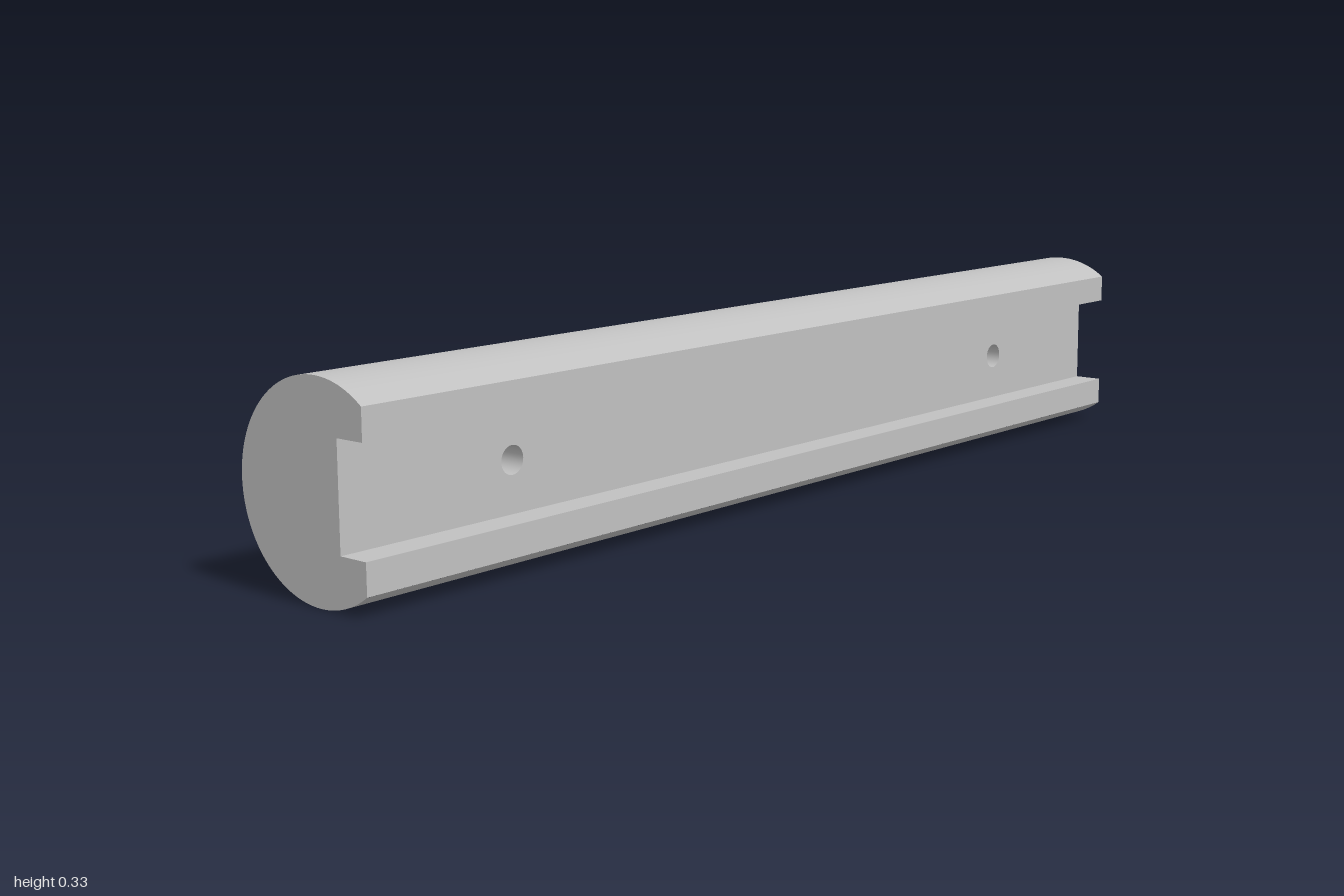
import * as THREE from 'three';

const R = 1 / 6, CY = 1 / 6, CZ = 1 / 30;   // round bar radius and axis
const FRONT = 0.1333, FLOOR = 0.08;         // z of front flats and channel floor
const SLOT = 0.0833, FLAT = 0.1333;         // half heights of channel and front flat
const HOLE_X = 0.667, HOLE_R = 0.023, HOLE_DEPTH = 0.08;
const START = Math.asin(FLAT / R);          // where the round meets the front flat

export function createModel() {
  const group = new THREE.Group();
  const grey = new THREE.MeshStandardMaterial({ color: 0xc0c0c0 });
  grey.name = 'light grey';

  const add = (name, geometry, x, y, z) => {
    const mesh = new THREE.Mesh(geometry, grey);
    mesh.name = name;
    mesh.position.set(x, y, z);
    group.add(mesh);
  };

  // Round back, lying along x
  const round = new THREE.CylinderGeometry(R, R, 2, 128, 1, true, START, 2 * Math.PI - 2 * START);
  add('roundBack', round.rotateZ(Math.PI / 2), 0, CY, CZ);

  // Front lips and channel walls, mirrored above and below
  for (const s of [1, -1]) {
    const side = s > 0 ? 'upper' : 'lower';
    add(side + 'Lip', new THREE.PlaneGeometry(2, FLAT - SLOT), 0, CY + s * (FLAT + SLOT) / 2, FRONT);
    add(side + 'ChannelWall', new THREE.PlaneGeometry(2, FRONT - FLOOR).rotateX(s * Math.PI / 2),
      0, CY + s * SLOT, (FRONT + FLOOR) / 2);
  }

  // Channel floor with two screw holes
  const floor = new THREE.Shape([[-1, -SLOT], [1, -SLOT], [1, SLOT], [-1, SLOT]]
    .map(([x, y]) => new THREE.Vector2(x, y)));
  for (const s of [1, -1]) {
    floor.holes.push(new THREE.Path().absarc(s * HOLE_X, 0, HOLE_R, 0, 2 * Math.PI, true));
    // Blind hole with a conical drill tip
    const lathe = (pts) => new THREE.LatheGeometry(pts.map(([r, y]) => new THREE.Vector2(r, y)), 32)
      .rotateX(Math.PI / 2);
    const side = s > 0 ? 'left' : 'right';
    add(side + 'HoleWall', lathe([[HOLE_R, 0], [HOLE_R, -HOLE_DEPTH]]), s * HOLE_X, CY, FLOOR);
    add(side + 'HoleTip', lathe([[HOLE_R, -HOLE_DEPTH], [0, -HOLE_DEPTH - 0.014]]), s * HOLE_X, CY, FLOOR);
  }
  add('channelFloor', new THREE.ShapeGeometry(floor, 16), 0, CY, FLOOR);

  // End caps: the bar's cross-section
  for (const s of [1, -1]) {
    const pts = [];
    for (let i = 0; i <= 128; i++) {
      const a = START + (i / 128) * (2 * Math.PI - 2 * START);
      pts.push([CZ + R * Math.cos(a), R * Math.sin(a)]);
    }
    pts.push([FRONT, -SLOT], [FLOOR, -SLOT], [FLOOR, SLOT], [FRONT, SLOT]);
    const section = new THREE.Shape(pts.map(([z, y]) => new THREE.Vector2(-s * z, y)));
    add(s > 0 ? 'leftEnd' : 'rightEnd',
      new THREE.ShapeGeometry(section).rotateY(s * Math.PI / 2), s, CY, 0);
  }
  return group;
}
